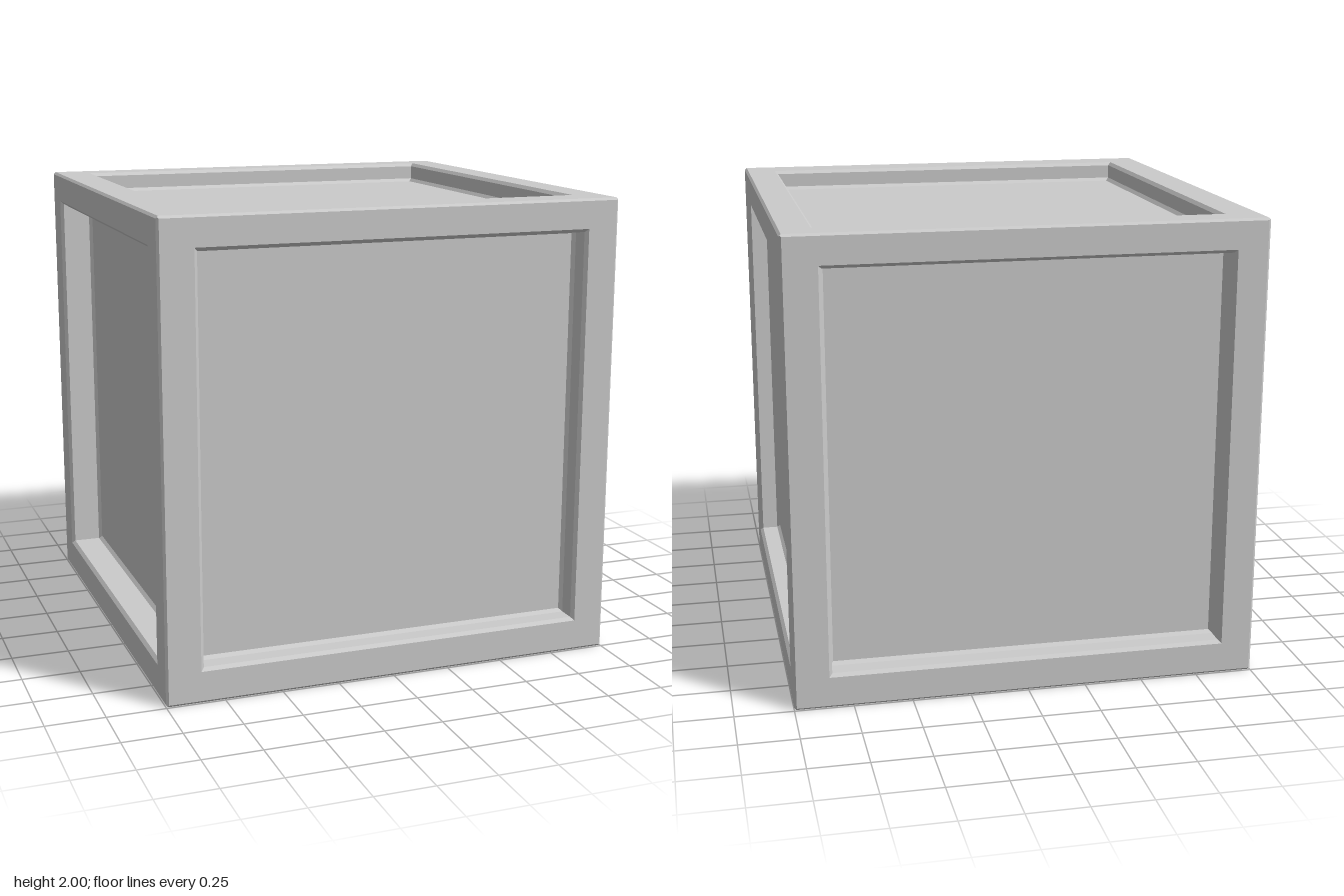
import * as THREE from 'three';

const material = new THREE.MeshStandardMaterial({ color: 0xcccccc, flatShading: true });

// Rectangular loop at height z, counter-clockwise seen from outside
const loop = (x0, x1, y0, y1, z) => [[x0, y0, z], [x1, y0, z], [x1, y1, z], [x0, y1, z]];

// Skin of quads between successive four-corner loops, running inwards
function skin(loops) {
  const pos = [];
  for (let k = 0; k + 1 < loops.length; k++) {
    const a = loops[k], b = loops[k + 1];
    for (let i = 0; i < 4; i++) {
      const j = (i + 1) % 4;
      pos.push(...a[i], ...a[j], ...b[j], ...a[i], ...b[j], ...b[i]);
    }
  }
  const geometry = new THREE.BufferGeometry();
  geometry.setAttribute('position', new THREE.Float32BufferAttribute(pos, 3));
  geometry.computeVertexNormals();
  return geometry;
}

// One side of the cube, facing +z: bevelled frame around a sunken panel
function makeSide(name, [x0, x1, y0, y1], depth) {
  const side = new THREE.Group();
  side.name = name;
  const opening = (inset, z) => loop(x0 + inset, x1 - inset, y0 + inset, y1 - inset, z);
  const frame = new THREE.Mesh(skin([
    loop(-0.995, 0.995, -0.995, 0.995, 0.995), // middle of the chamfered cube edge
    loop(-0.99, 0.99, -0.99, 0.99, 1),
    opening(0, 1),
    opening(0.014, 0.986),                     // lip bevel
    opening(0.014, 1 - depth + 0.014),         // recess wall
    opening(0.028, 1 - depth),                 // bevel down to the panel
  ]), material);
  frame.name = name + 'Frame';

  const panel = new THREE.Mesh(new THREE.PlaneGeometry(x1 - x0 - 0.056, y1 - y0 - 0.056), material);
  panel.position.set((x0 + x1) / 2, (y0 + y1) / 2, 1 - depth);
  panel.name = name + 'Panel';
  side.add(frame, panel);
  return side;
}

export function createModel() {
  const model = new THREE.Group();
  model.name = 'panelledCube';
  const wall = [-0.851, 0.862, -0.863, 0.873];
  const cap = [-0.848, 0.862, -0.846, 0.867];
  const q = Math.PI / 2;
  // name, opening, recess depth, rotation about x, rotation about y
  const sides = [
    ['front', wall, 0.1, 0, 0],
    ['left', wall, 0.1, 0, q],
    ['back', wall, 0.1, 0, 2 * q],
    ['right', wall, 0.15, 0, -q],
    ['top', cap, 0.09, -q, 0],
    ['bottom', cap, 0.1, q, 0],
  ];
  for (const [name, rect, depth, rx, ry] of sides) {
    const side = makeSide(name, rect, depth);
    side.rotation.set(rx, ry, 0);
    side.position.y = 1;
    model.add(side);
  }
  return model;
}
